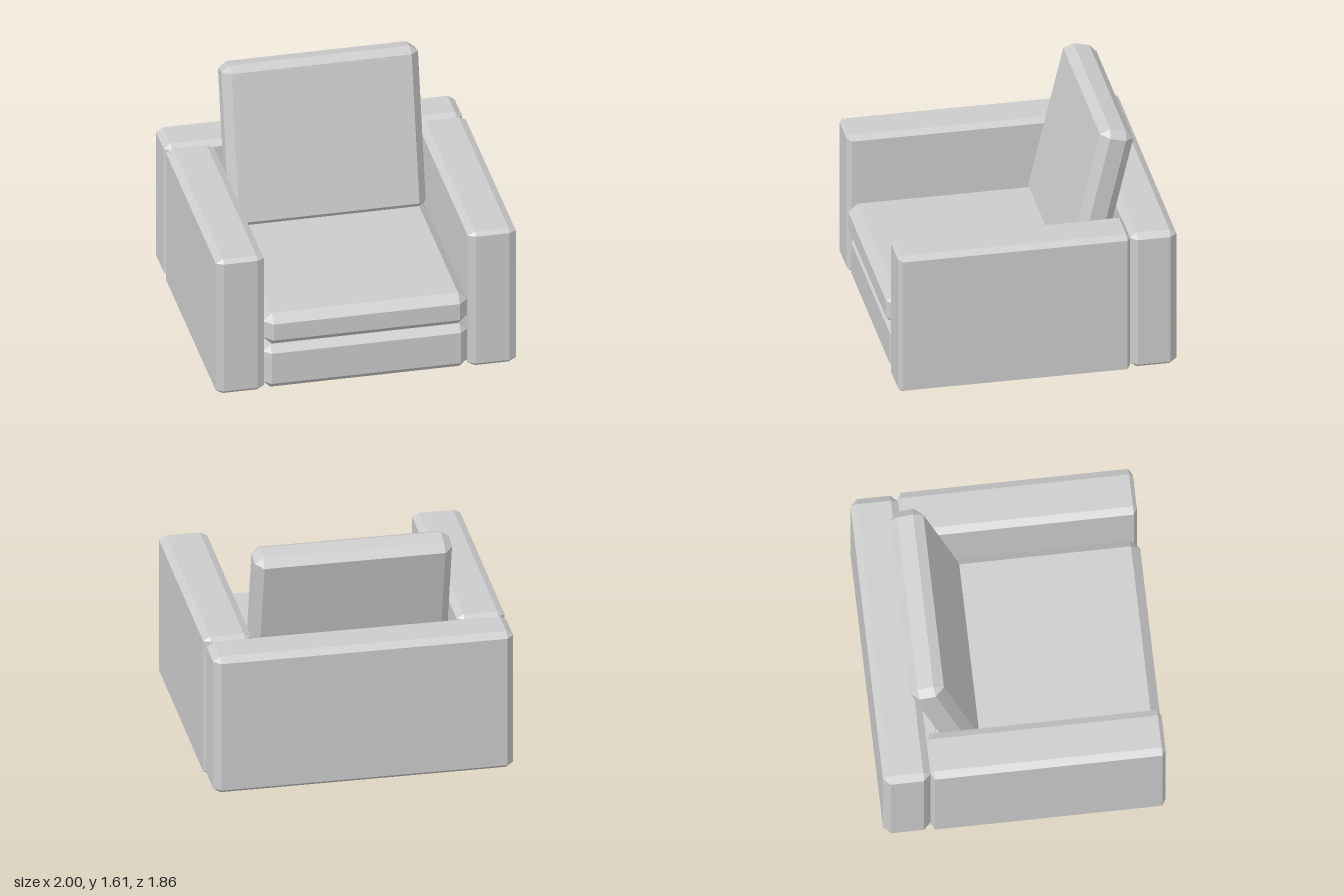
import * as THREE from 'three';
import { ConvexGeometry } from 'three/addons/geometries/ConvexGeometry.js';

const material = new THREE.MeshStandardMaterial({ color: 0xcccccc, flatShading: true });

// Box with chamfered edges; size and bevel are given per axis
function chamferBox(name, size, bevel, position) {
  const points = [];
  for (const sx of [-1, 1]) for (const sy of [-1, 1]) for (const sz of [-1, 1]) {
    const sign = [sx, sy, sz];
    for (let face = 0; face < 3; face++) {
      const c = sign.map((s, i) => s * (size[i] / 2 - (i === face ? 0 : bevel[i])));
      points.push(new THREE.Vector3(...c));
    }
  }
  const mesh = new THREE.Mesh(new ConvexGeometry(points), material);
  mesh.name = name;
  mesh.position.set(...position);
  return mesh;
}

export function createModel() {
  const chair = new THREE.Group();
  chair.name = 'armchair';

  // Arms
  for (const [name, side] of [['leftArm', 1], ['rightArm', -1]]) {
    chair.add(chamferBox(name, [0.32, 1.0, 1.54], [0.048, 0.025, 0.025], [side * 0.84, 0.51, 0.15]));
  }

  // Back panel, base and seat cushion
  chair.add(chamferBox('backPanel', [1.99, 0.99, 0.31], [0.046, 0.034, 0.046], [-0.005, 0.515, -0.775]));
  chair.add(chamferBox('base', [1.36, 0.315, 1.53], [0.05, 0.045, 0.045], [0, 0.158, 0.145]));
  chair.add(chamferBox('seatCushion', [1.36, 0.23, 1.46], [0.06, 0.055, 0.06], [0, 0.44, 0.2]));

  // Reclined back cushion
  const backCushion = chamferBox('backCushion', [1.31, 1.1, 0.228], [0.055, 0.042, 0.06], [0.015, 1.061, -0.484]);
  backCushion.rotation.x = -0.232;
  chair.add(backCushion);

  return chair;
}
